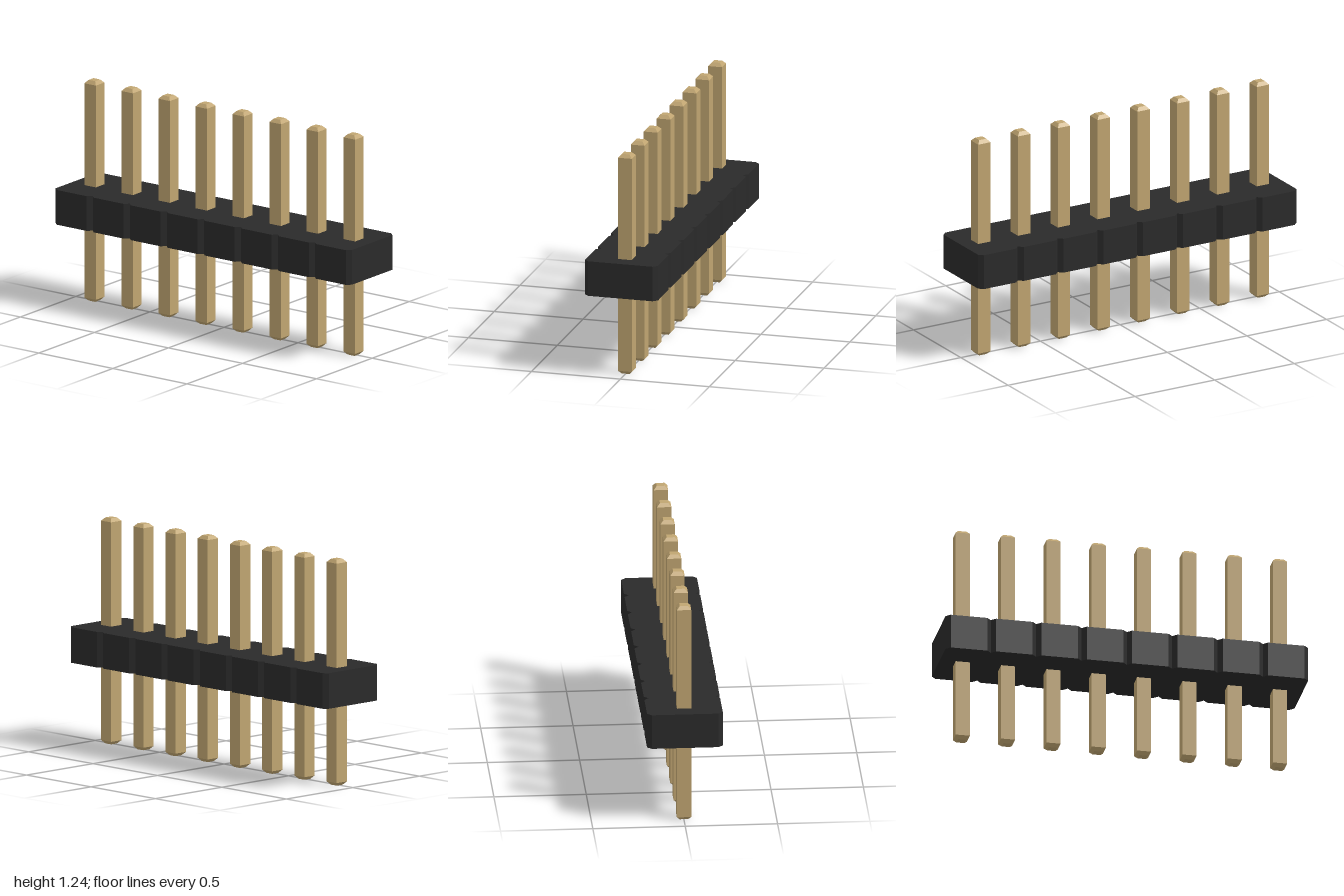
import * as THREE from 'three';

const COUNT = 8, PITCH = 0.25;
const HALF_WIDTH = 0.205, CHAMFER = 0.024;
const BODY_BOTTOM = 0.455, BODY_TOP = 0.65;
const PIN_HALF = 0.039, TIP_HALF = 0.022, PIN_HEIGHT = 1.24, TIP = 0.018;

// Strip of chamfered blocks joined end to end, leaving V notches between them
function housingGeometry() {
  const right = [];
  for (let i = 0; i < COUNT; i++) {
    const a = -1 + i * PITCH, b = a + PITCH;
    right.push([HALF_WIDTH - CHAMFER, a], [HALF_WIDTH, a + CHAMFER], [HALF_WIDTH, b - CHAMFER]);
  }
  right.push([HALF_WIDTH - CHAMFER, 1]);
  const left = right.map(([x, y]) => [-x, y]).reverse();
  const outline = [...right, ...left].map(([x, y]) => new THREE.Vector2(x, y));
  const geometry = new THREE.ExtrudeGeometry(new THREE.Shape(outline), {
    depth: BODY_TOP - BODY_BOTTOM, bevelEnabled: false,
  });
  return geometry.rotateX(-Math.PI / 2).translate(0, BODY_BOTTOM, 0);
}

// Square post with tapered ends, as a four-sided lathe
function pinGeometry() {
  const profile = [
    [0, 0], [TIP_HALF, 0], [PIN_HALF, TIP],
    [PIN_HALF, PIN_HEIGHT - TIP], [TIP_HALF, PIN_HEIGHT], [0, PIN_HEIGHT],
  ].map(([half, y]) => new THREE.Vector2(half * Math.SQRT2, y));
  return new THREE.LatheGeometry(profile, 4, Math.PI / 4);
}

export function createModel() {
  const model = new THREE.Group();
  model.name = 'pinHeader';
  const black = new THREE.MeshStandardMaterial({ color: 0x2a2a2a, flatShading: true });
  const gold = new THREE.MeshStandardMaterial({ color: 0xc0a571, flatShading: true });

  const housing = new THREE.Mesh(housingGeometry(), black);
  housing.name = 'housing';
  model.add(housing);

  // Row of pins through the housing
  const geometry = pinGeometry();
  for (let i = 0; i < COUNT; i++) {
    const pin = new THREE.Mesh(geometry, gold);
    pin.name = `pin${i + 1}`;
    pin.position.z = (i - (COUNT - 1) / 2) * PITCH;
    model.add(pin);
  }
  return model;
}
